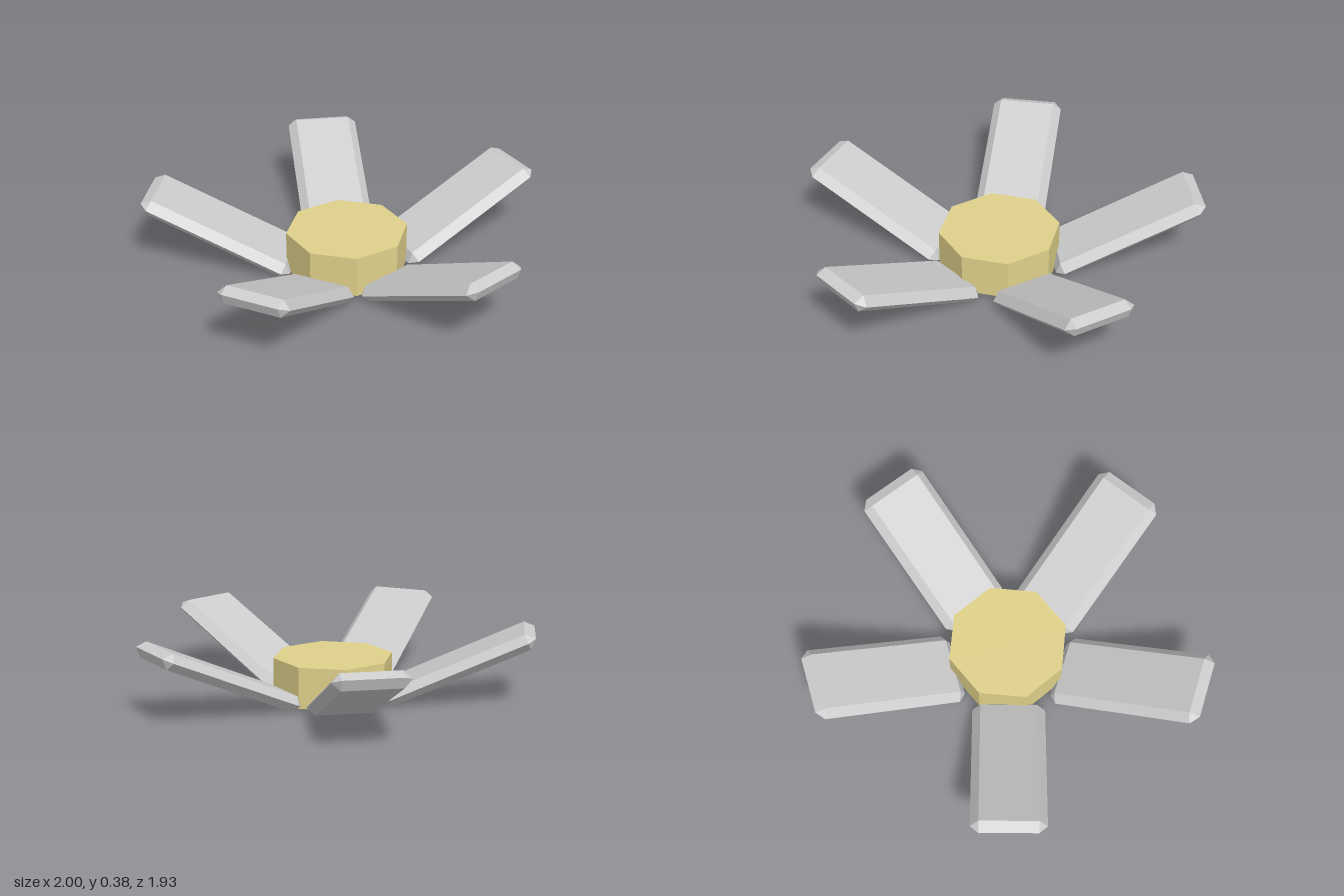
import * as THREE from 'three';
import { ConvexGeometry } from 'three/addons/geometries/ConvexGeometry.js';

const LENGTH = 0.815, HALF_WIDTH = 0.184, BEVEL = 0.041, TILT = 0.429;

// Slab with fully bevelled edges: octagonal rim, smaller rectangles above and below.
// It runs back along -z from a tip at the origin.
function petalGeometry() {
  const a = LENGTH / 2, w = HALF_WIDTH, b = BEVEL, points = [];
  for (const sx of [-1, 1]) for (const sz of [-1, 1]) {
    points.push(
      new THREE.Vector3(sx * w, 0, sz * (a - b)),
      new THREE.Vector3(sx * (w - b), 0, sz * a),
      new THREE.Vector3(sx * (w - b), b, sz * (a - b)),
      new THREE.Vector3(sx * (w - b), -b, sz * (a - b)),
    );
  }
  return new ConvexGeometry(points).translate(0, 0, -a);
}

export function createModel() {
  const model = new THREE.Group();
  model.name = 'flower';

  // Octagonal centre
  const centre = new THREE.Mesh(
    new THREE.CylinderGeometry(0.305, 0.305, 0.208, 8),
    new THREE.MeshStandardMaterial({ color: 0xdfd18a, flatShading: true }),
  );
  centre.name = 'flowerCentre';
  centre.position.set(0.003, 0.114, 0.047);
  model.add(centre);

  // Five petals, slightly uneven: name, tip x, tip z, heading in degrees from +z
  const grey = new THREE.MeshStandardMaterial({ color: 0xcccccc, flatShading: true });
  const geometry = petalGeometry();
  const petals = [
    ['frontLeftPetal', 0.567, 0.882, 34.3],
    ['frontRightPetal', -0.567, 0.882, -34.3],
    ['leftPetal', 0.949, -0.297, 111],
    ['rightPetal', -0.96, -0.246, -107.3],
    ['backPetal', 0.021, -0.961, 179.2],
  ];
  for (const [name, x, z, heading] of petals) {
    const petal = new THREE.Mesh(geometry, grey);
    petal.name = name;
    petal.position.set(x, 0.36, z);
    petal.rotation.set(-TILT, THREE.MathUtils.degToRad(heading), 0, 'YXZ');
    model.add(petal);
  }
  return model;
}
